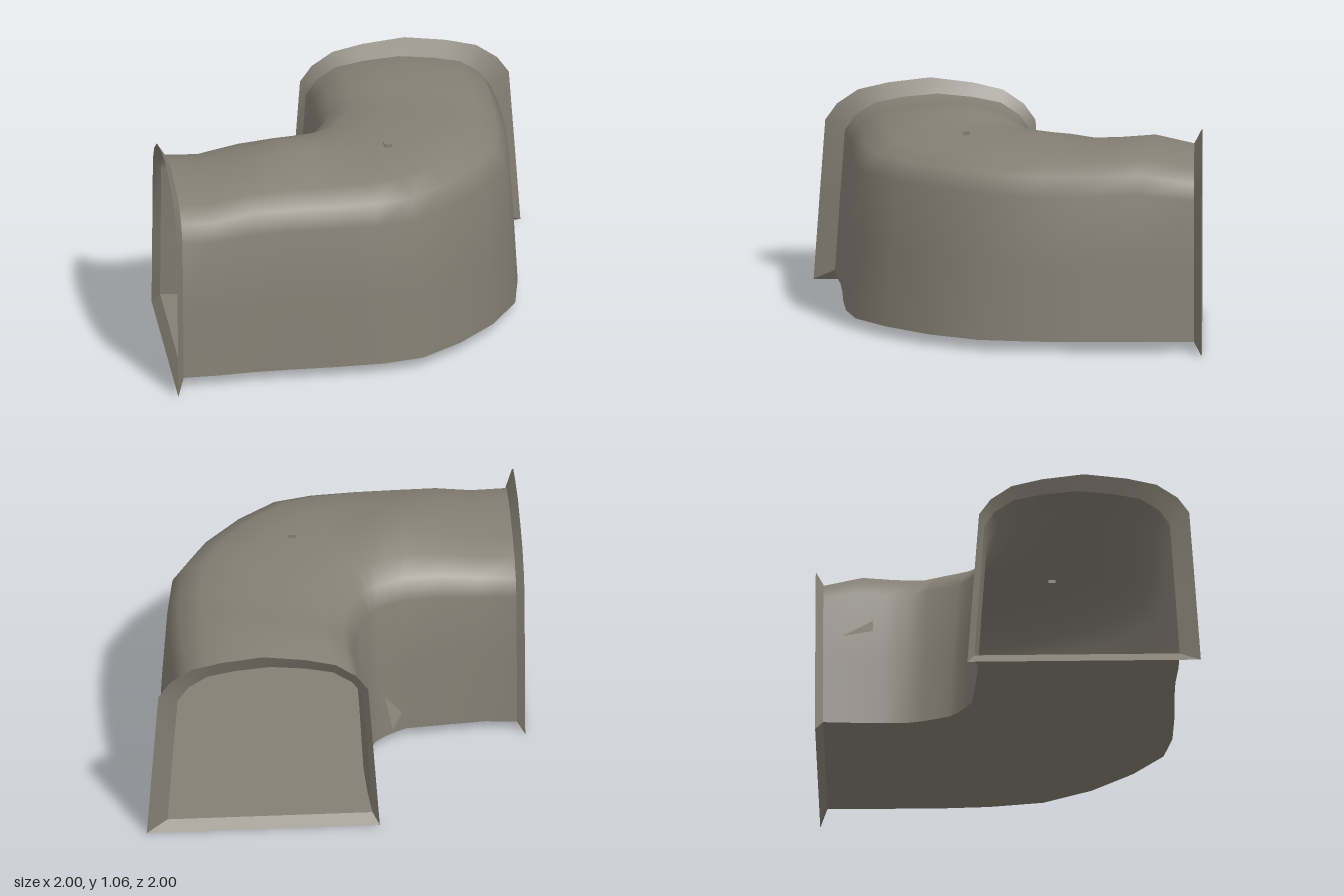
import * as THREE from 'three';
import { toCreasedNormals } from 'three/addons/utils/BufferGeometryUtils.js';

// Half cross-sections as [fraction of width, fraction of height], mirrored about the middle
const ARCH = [[0, 0], [0.025, 0.4], [0.05, 0.79], [0.1, 0.87], [0.19, 0.94], [0.32, 0.975], [0.5, 1]];
const FLAT = [[0, 0], [0.02, 0.4], [0.045, 0.8], [0.1, 0.9], [0.2, 0.97], [0.35, 0.995], [0.5, 1]];

// Stations round the bend: inner x, z, outer x, z, roof height, flatness of the roof
const STATIONS = [
  [-0.96, -0.165, -0.96, 0.89, 0.98, 0.3],
  [-0.8, -0.15, -0.78, 0.88, 0.97, 0.6],
  [-0.58, -0.17, -0.6, 0.86, 0.995, 1],
  [-0.39, -0.19, -0.4, 0.85, 1.0, 1],
  [-0.33, -0.22, -0.16, 0.845, 1.0, 1],
  [-0.28, -0.255, 0.08, 0.83, 1.0, 1],
  [-0.25, -0.28, 0.29, 0.78, 1.0, 1],
  [-0.22, -0.31, 0.5, 0.62, 1.0, 1],
  [-0.19, -0.38, 0.7, 0.4, 1.0, 1],
  [-0.165, -0.45, 0.84, 0.15, 1.0, 1],
  [-0.145, -0.53, 0.885, -0.13, 0.985, 1],
  [-0.147, -0.65, 0.897, -0.38, 0.99, 1],
  [-0.152, -0.78, 0.895, -0.68, 1.01, 0.7],
  [-0.165, -0.96, 0.89, -0.96, 0.97, 0.3],
];
const FLOOR = 0.055;

// One arch of points from the inner wall over the roof to the outer wall
function section([ix, iz, ox, oz, top, flat], base) {
  const points = [];
  for (let i = 0; i < 13; i++) {
    const k = Math.min(i, 12 - i);
    const half = THREE.MathUtils.lerp(ARCH[k][0], FLAT[k][0], flat);
    const h = THREE.MathUtils.lerp(ARCH[k][1], FLAT[k][1], flat);
    const t = i > 6 ? 1 - half : half;
    points.push(new THREE.Vector3(ix + (ox - ix) * t, base + (top - base) * h, iz + (oz - iz) * t));
  }
  return points;
}

// Skin a list of equal-length rows; closed joins the ends of each row
function loft(rows, closed = false) {
  const n = rows[0].length;
  const index = [];
  for (let r = 0; r < rows.length - 1; r++) {
    for (let i = 0; i < (closed ? n : n - 1); i++) {
      const j = (i + 1) % n;
      const a = r * n + i, b = r * n + j, c = a + n, d = b + n;
      index.push(a, b, c, b, d, c);
    }
  }
  const geometry = new THREE.BufferGeometry().setFromPoints(rows.flat());
  geometry.setIndex(index);
  geometry.computeVertexNormals();
  return geometry;
}

export function createModel() {
  const group = new THREE.Group();
  const stone = new THREE.MeshStandardMaterial({ color: 0x857f74, side: THREE.DoubleSide });
  stone.name = 'stone';
  const add = (name, geometry) => {
    const mesh = new THREE.Mesh(geometry, stone);
    mesh.name = name;
    group.add(mesh);
    return mesh;
  };

  // Curved walls and roof, with a low hump on the roof
  const rows = STATIONS.map((s) => section(s, FLOOR));
  for (const p of rows.flat()) {
    if (p.y > 0.85) p.y += 0.06 * Math.exp(-((p.x + 0.35) ** 2 + (p.z - 0.25) ** 2) / 0.04);
  }
  add('tunnelShell', loft(rows));

  // Flat floor between the feet of the walls
  add('tunnelFloor', loft(rows.map((row) => [row[12].clone(), row[0].clone()])));

  // Flared collars round the two mouths
  const collars = [
    ['sideCollar', rows[0], [-1, -0.2, -1, 1, 1.057, 0]],
    ['backCollar', rows[rows.length - 1], [-0.2, -1, 1, -1, 1.057, 0]],
  ];
  for (const [name, mouth, rim] of collars) {
    add(name, toCreasedNormals(loft([mouth, section(rim, 0)], true), 0.6));
  }

  // Loose shard beside the inner wall
  const shard = new THREE.BufferGeometry().setFromPoints([
    new THREE.Vector3(-0.275, 0.49, -0.86),
    new THREE.Vector3(-0.335, 0.49, -0.7),
    new THREE.Vector3(-0.245, 0.59, -0.7),
  ]);
  shard.computeVertexNormals();
  add('shard', shard);

  // Small stud on the roof
  add('roofStud', new THREE.BoxGeometry(0.04, 0.035, 0.035)).position.set(0.175, 0.998, 0.21);

  return group;
}
